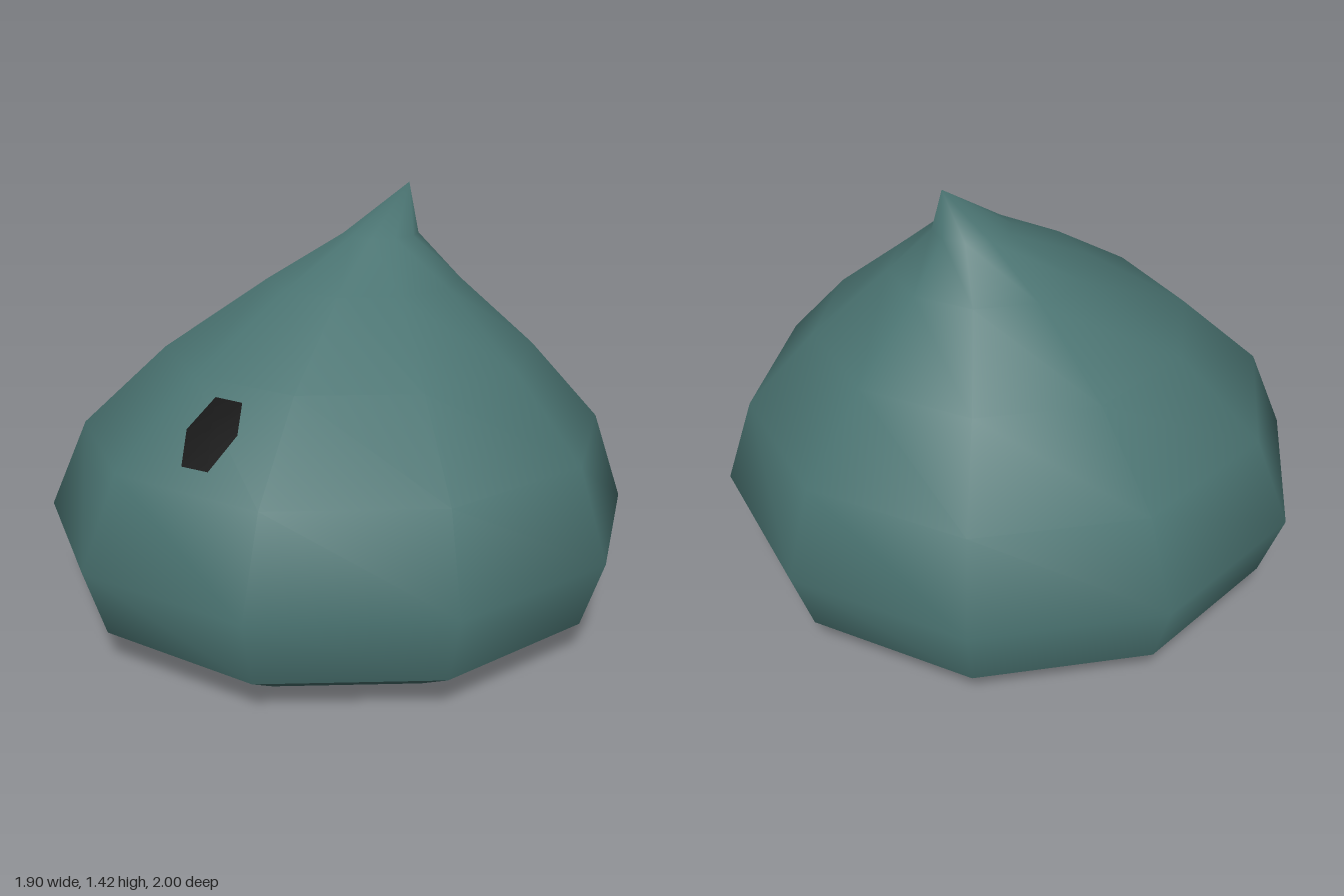
import * as THREE from 'three';
import { mergeVertices } from 'three/addons/utils/BufferGeometryUtils.js';

const SIDES = 10;

// Ten-sided smooth shell from rings of [radius, height, centre z]
function shell(rings) {
  const points = rings.map(([r, y]) => new THREE.Vector2(r, y));
  let geometry = new THREE.LatheGeometry(points, SIDES);
  const pos = geometry.attributes.position;
  for (let i = 0; i < pos.count; i++) {
    pos.setZ(i, pos.getZ(i) + rings[i % rings.length][2]);
  }
  geometry.deleteAttribute('uv');
  geometry.deleteAttribute('normal');
  geometry = mergeVertices(geometry, 1e-4);
  geometry.computeVertexNormals();
  return geometry;
}

export function createModel() {
  const group = new THREE.Group();
  const teal = new THREE.MeshStandardMaterial({ color: 0x4a7371 });
  teal.name = 'dull teal';
  const black = new THREE.MeshStandardMaterial({ color: 0x111111, side: THREE.DoubleSide });
  black.name = 'black';

  const add = (name, geometry, material) => {
    const mesh = new THREE.Mesh(geometry, material);
    mesh.name = name;
    group.add(mesh);
    return mesh;
  };

  // Teardrop body whose tip leans back
  add('body', shell([
    [0.925, 0.11, 0],
    [1.0, 0.335, 0],
    [0.888, 0.63, -0.018],
    [0.63, 0.89, -0.05],
    [0.33, 1.115, -0.11],
    [0.128, 1.263, -0.185],
    [0, 1.425, -0.31],
  ]), teal);

  // Bevelled lower rim and flat underside, kept apart for crisp edges
  add('lowerRim', shell([[0.74, 0, 0], [0.925, 0.11, 0]]), teal);
  const underside = add('underside', new THREE.CircleGeometry(0.74, SIDES, Math.PI / 2), teal);
  underside.rotation.x = Math.PI / 2;

  // Single six-sided eye lying on the front left slope
  const corners = [
    [0.15, 0.855, 0.59], [0.14, 0.77, 0.69], [0.21, 0.685, 0.755],
    [0.30, 0.685, 0.72], [0.31, 0.78, 0.62], [0.25, 0.855, 0.56],
  ];
  const eye = new THREE.BufferGeometry();
  eye.setAttribute('position', new THREE.Float32BufferAttribute([0.226, 0.772, 0.66, ...corners.flat()], 3));
  eye.setIndex(corners.flatMap((_, i) => [0, i + 1, (i + 1) % 6 + 1]));
  eye.translate(0, 0.004, 0.004);
  eye.computeVertexNormals();
  add('eye', eye, black);

  return group;
}
